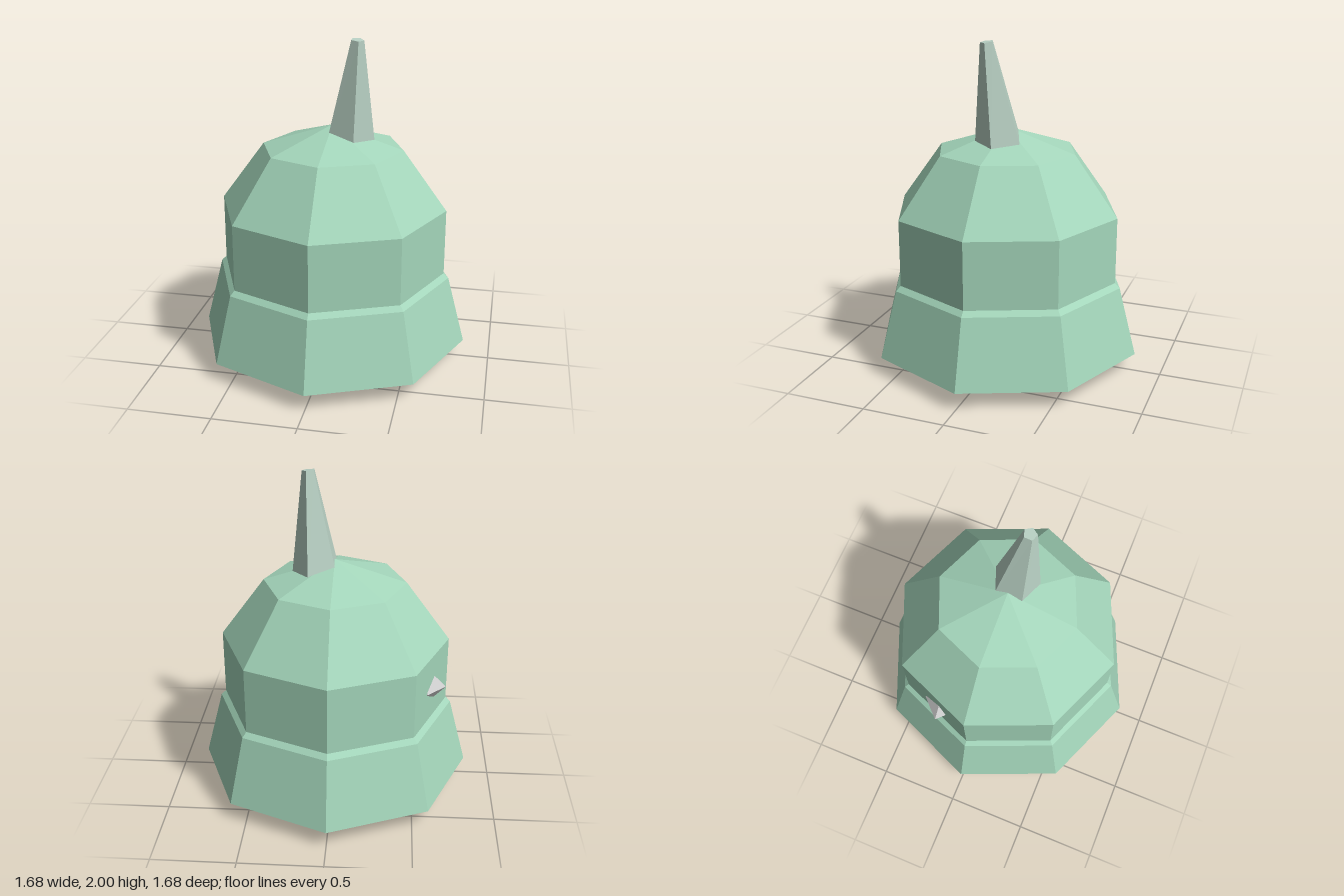
import * as THREE from 'three';

const paint = (color) => new THREE.MeshStandardMaterial({ color, flatShading: true });

// Eight-sided solid of revolution from [radius, y] pairs, bottom to top
function octagonal(name, profile, material) {
  const points = profile.map(([r, y]) => new THREE.Vector2(r, y));
  const mesh = new THREE.Mesh(new THREE.LatheGeometry(points, 8), material);
  mesh.name = name;
  return mesh;
}

export function createModel() {
  const model = new THREE.Group();
  model.name = 'bell';
  const green = paint(0xa4d6bb);

  // Closed bell: flared skirt, narrow lip, straight waist, domed crown
  model.add(octagonal('bellBody', [
    [0, 0.11], [0.84, 0.11], [0.73, 0.53], [0.70, 0.56],
    [0.70, 0.97], [0.432, 1.335], [0, 1.475],
  ], green));

  // Shallow point showing below the skirt
  model.add(octagonal('clapper', [[0, 0], [0.34, 0.115], [0, 0.2]], green));

  // Leaning five-sided spike, its foot sunk into the crown
  const foot = 1.35, height = 0.647;
  const spikeGeo = new THREE.CylinderGeometry(0.04, 0.158, height, 5, 1, false, Math.PI / 2);
  spikeGeo.translate(0, height / 2, 0);
  const pos = spikeGeo.attributes.position;
  for (let i = 0; i < pos.count; i++) {
    const x = pos.getX(i), y = pos.getY(i), z = pos.getZ(i);
    const t = y / height;
    pos.setXYZ(i, x + 0.101 + 0.056 * t, foot + y - t * (0.09 * x + 0.1 * z), z - 0.002 + 0.065 * t);
  }
  spikeGeo.computeVertexNormals();
  const spike = new THREE.Mesh(spikeGeo, paint(0xb8d0c3));
  spike.name = 'spike';
  model.add(spike);

  // Small stud half buried in the waist
  const stud = new THREE.Mesh(new THREE.OctahedronGeometry(0.115), paint(0xcccccc));
  stud.name = 'stud';
  stud.position.set(-0.57, 0.75, -0.21);
  model.add(stud);

  return model;
}
